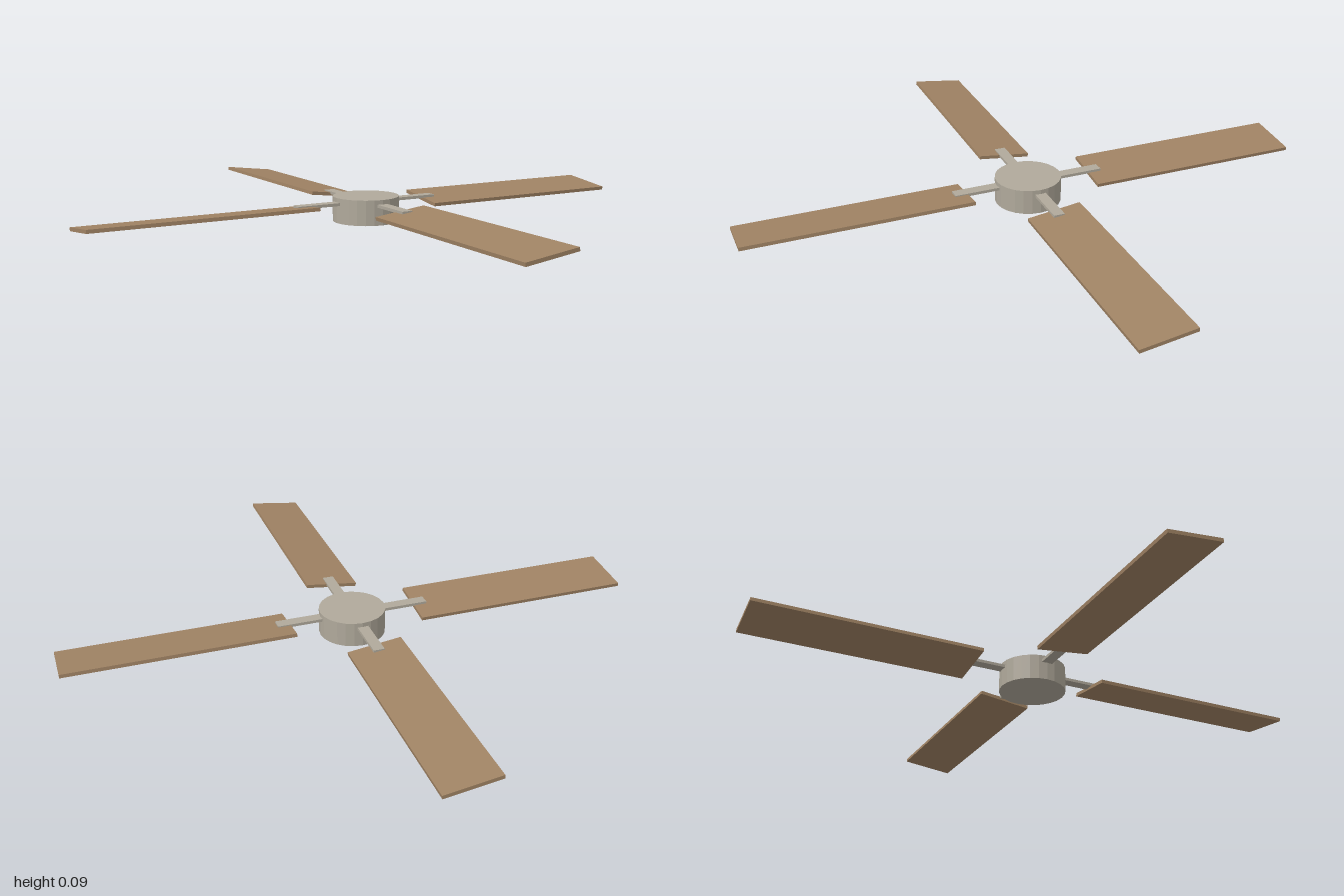
import * as THREE from 'three';

const metal = new THREE.MeshStandardMaterial({ name: 'brushedMetal', color: 0xb0a99b, flatShading: true });
const wood = new THREE.MeshStandardMaterial({ name: 'wood', color: 0xa08364, flatShading: true });

const PITCH = THREE.MathUtils.degToRad(7);

function addMesh(parent, name, geometry, material, x, y, z) {
  const mesh = new THREE.Mesh(geometry, material);
  mesh.name = name;
  mesh.position.set(x, y, z);
  parent.add(mesh);
  return mesh;
}

export function createModel() {
  const fan = new THREE.Group();
  fan.name = 'ceilingFan';

  // Motor hub
  addMesh(fan, 'hub', new THREE.CylinderGeometry(0.115, 0.115, 0.087, 24), metal, 0, 0.0435, 0);

  // Four pitched blades on flat brackets, built along +z and turned around the hub
  const bladeGeometry = new THREE.BoxGeometry(0.187, 0.012, 0.775);
  const bracketGeometry = new THREE.BoxGeometry(0.038, 0.01, 0.19);
  for (let i = 0; i < 4; i++) {
    const arm = new THREE.Group();
    arm.name = `bladeArm${i + 1}`;
    arm.rotation.y = (i * Math.PI) / 2;
    addMesh(arm, 'bracket', bracketGeometry, metal, 0, 0.067, 0.175);
    const blade = addMesh(arm, 'blade', bladeGeometry, wood, 0, 0.06, 0.6125);
    blade.rotation.z = PITCH;
    fan.add(arm);
  }
  return fan;
}
